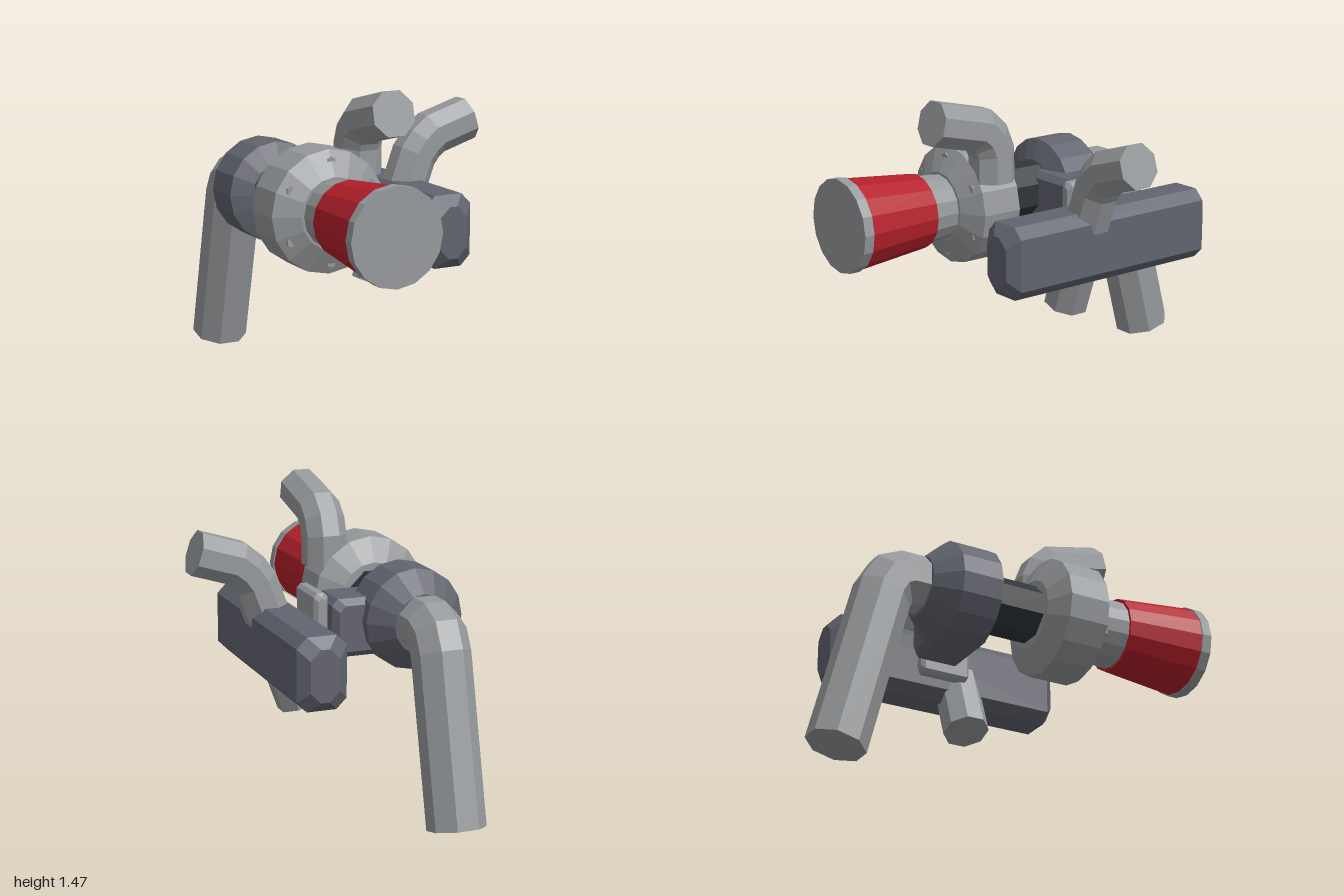
import * as THREE from 'three';

const material = (name, color) => {
  const m = new THREE.MeshStandardMaterial({ color, flatShading: true });
  m.name = name;
  return m;
};

// Closed solid through a list of equal-sized corner rings
function loft(rings) {
  const tri = [];
  const n = rings[0].length;
  const add = (...pts) => pts.forEach((p) => tri.push(p.x, p.y, p.z));
  for (let i = 0; i < rings.length - 1; i++) {
    for (let j = 0; j < n; j++) {
      const k = (j + 1) % n;
      const a = rings[i][j], b = rings[i][k], c = rings[i + 1][k], d = rings[i + 1][j];
      add(a, b, c);
      add(a, c, d);
    }
  }
  const first = rings[0], last = rings[rings.length - 1];
  for (let j = 1; j < n - 1; j++) {
    add(first[0], first[j + 1], first[j]);
    add(last[0], last[j], last[j + 1]);
  }
  const g = new THREE.BufferGeometry();
  g.setAttribute('position', new THREE.Float32BufferAttribute(tri, 3));
  g.computeVertexNormals();
  return g;
}

// Octagonal pipe along a flat path, mitred at the bends
function pipe(path, across, apothem) {
  const radius = apothem / Math.cos(Math.PI / 8);
  const steps = path.slice(1).map((p, i) => p.clone().sub(path[i]).normalize());
  return loft(path.map((p, i) => {
    const before = steps[Math.max(i - 1, 0)];
    const after = steps[Math.min(i, steps.length - 1)];
    const t = before.clone().add(after).normalize();
    const u = across.clone().cross(t).divideScalar(t.dot(after));
    return Array.from({ length: 8 }, (_, j) => {
      const a = ((j + 0.5) * Math.PI) / 4;
      return p.clone()
        .addScaledVector(u, radius * Math.cos(a))
        .addScaledVector(across, radius * Math.sin(a));
    });
  }));
}

// Box with every edge cut by c, given its low and high corners
function cutBox([x0, y0, z0], [x1, y1, z1], c) {
  const ring = (z, inset) => {
    const l = x0 + inset, r = x1 - inset, b = y0 + inset, t = y1 - inset;
    return [
      [l + c, b], [r - c, b], [r, b + c], [r, t - c],
      [r - c, t], [l + c, t], [l, t - c], [l, b + c],
    ].map(([x, y]) => new THREE.Vector3(x, y, z));
  };
  return loft([ring(z0, c), ring(z0 + c, 0), ring(z1 - c, 0), ring(z1, c)]);
}

// Turned solid along z; profile is [radius, z] from back to front
function turned(profile, sides = 16, phase = 0) {
  const pts = [[0, profile[0][1]], ...profile, [0, profile[profile.length - 1][1]]]
    .map(([r, z]) => new THREE.Vector2(r, z));
  return new THREE.LatheGeometry(pts, sides, phase).rotateX(Math.PI / 2);
}

export function createModel() {
  const grey = material('light grey', 0x96999c);
  const slate = material('slate', 0x62646f);
  const red = material('red', 0xb5202b);
  const dark = material('charcoal', 0x2f353b);

  const model = new THREE.Group();
  model.name = 'model';
  const add = (name, geometry, mat, parent = model) => {
    const mesh = new THREE.Mesh(geometry, mat);
    mesh.name = name;
    parent.add(mesh);
    return mesh;
  };

  // Barrel parts share one axis
  const barrel = new THREE.Group();
  barrel.name = 'barrel';
  barrel.position.set(-0.35, 0.905, 0);
  model.add(barrel);
  add('nozzleRim', turned([[0.226, 0.95], [0.226, 1]]), grey, barrel);
  add('nozzleCone', turned([[0.181, 0.563], [0.22, 0.951]]), red, barrel);
  add('nozzleNeck', turned([[0.155, 0.4], [0.169, 0.57]]), grey, barrel);
  add('frontHousing', turned([[0.17, 0.105], [0.29, 0.165], [0.29, 0.37], [0.17, 0.43]]), grey, barrel);
  add('shaft', turned([[0.14, -0.18], [0.14, 0.15]], 8, Math.PI / 8), dark, barrel);
  add('rearHousing', turned([[0.145, -0.485], [0.245, -0.377], [0.245, -0.175], [0.145, -0.138]]), slate, barrel);

  // Six bolts just breaking through the front slope of the housing
  for (let i = 0; i < 6; i++) {
    const a = Math.PI / 2 + (i * Math.PI) / 3;
    const bolt = add('bolt', new THREE.CylinderGeometry(0.023, 0.023, 0.06, 6).rotateX(Math.PI / 2), grey, barrel);
    bolt.position.set(0.235 * Math.cos(a), 0.235 * Math.sin(a), 0.366);
  }

  // Pipes bending in the z-y plane: [z, y] points
  const X = new THREE.Vector3(1, 0, 0);
  const sidePath = (x, pts) => pts.map(([z, y]) => new THREE.Vector3(x, y, z));
  add('gripPipe', pipe(sidePath(-0.35,
    [[-0.42, 0.912], [-0.575, 0.912], [-0.635, 0.885], [-0.677, 0.813], [-0.877, 0.037]]), X, 0.128), grey);
  add('upperPipe', pipe(sidePath(-0.147,
    [[0.267, 1.05], [0.267, 1.19], [0.295, 1.26], [0.347, 1.31], [0.607, 1.372]]), X, 0.103), grey);

  // Pipe through the side box, bending in the x-y plane
  const crossPath = [[0.0875, 0.442], [0.312, 1.058], [0.355, 1.115], [0.41, 1.16], [0.607, 1.222]]
    .map(([x, y]) => new THREE.Vector3(x, y, 0));
  add('crossPipe', pipe(crossPath, new THREE.Vector3(0, 0, 1), 0.103), grey);

  // Side box with its mount
  add('sideBox', cutBox([0.103, 0.6, -0.7], [0.345, 0.948, 0.52], 0.05), slate);
  add('mountPlate', cutBox([0.037, 0.687, -0.265], [0.107, 1.037, -0.005], 0.018), grey);
  add('mountBlock', cutBox([-0.3, 0.733, -0.33], [0.037, 1.015, -0.075], 0.03), slate);

  return model;
}
